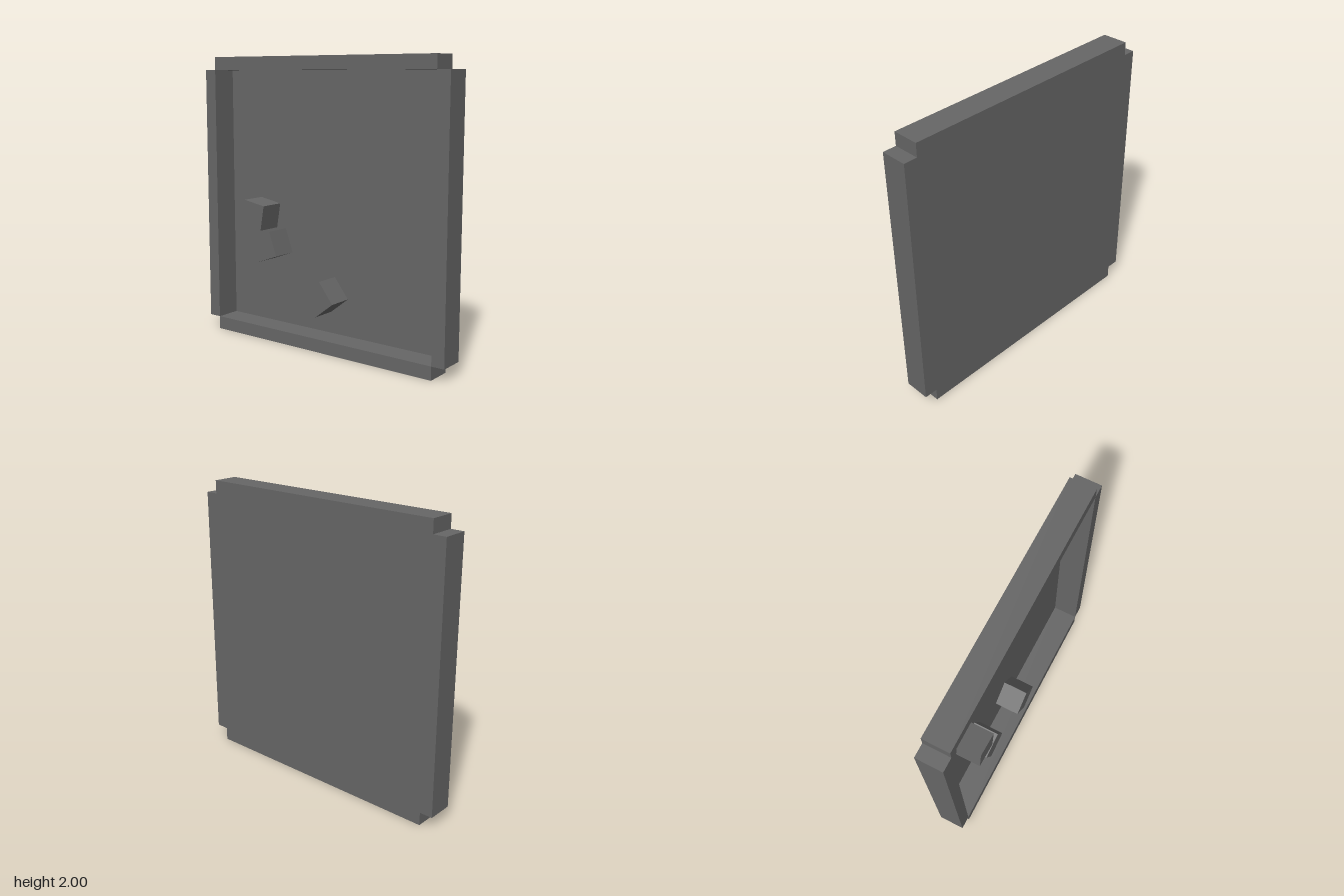
import * as THREE from 'three';

export function createModel() {
  const group = new THREE.Group();
  const grey = new THREE.MeshStandardMaterial({ color: 0x666666 });
  grey.name = 'grey';
  const panelGrey = grey.clone();
  panelGrey.side = THREE.DoubleSide;

  const INNER = 1.816; // opening of the tray
  const BAR = 0.092; // width of a frame bar
  const DEPTH = 0.18;

  function addBox(name, w, h, x, y, angle = 0) {
    const mesh = new THREE.Mesh(new THREE.BoxGeometry(w, h, DEPTH), grey);
    mesh.name = name;
    mesh.position.set(x, y, 0);
    mesh.rotation.z = THREE.MathUtils.degToRad(angle);
    group.add(mesh);
  }

  // Back panel: a flat sheet flush with the back of the frame
  const panel = new THREE.Mesh(new THREE.PlaneGeometry(INNER, INNER), panelGrey);
  panel.name = 'backPanel';
  panel.position.set(0, 1, -DEPTH / 2);
  group.add(panel);

  // Four frame bars, leaving the corners open
  const offset = 1 - BAR / 2;
  addBox('leftBar', BAR, INNER, offset, 1);
  addBox('rightBar', BAR, INNER, -offset, 1);
  addBox('topBar', INNER, BAR, 0, 1 + offset);
  addBox('bottomBar', INNER, BAR, 0, 1 - offset);

  // Loose cubes resting on the panel: x, y, turn in degrees
  [
    [-0.565, 0.892, -10],
    [-0.464, 0.674, 20],
    [0.014, 0.37, 38],
  ].forEach(([x, y, angle], i) => addBox(`cube${i + 1}`, DEPTH, DEPTH, x, y, angle));

  return group;
}
